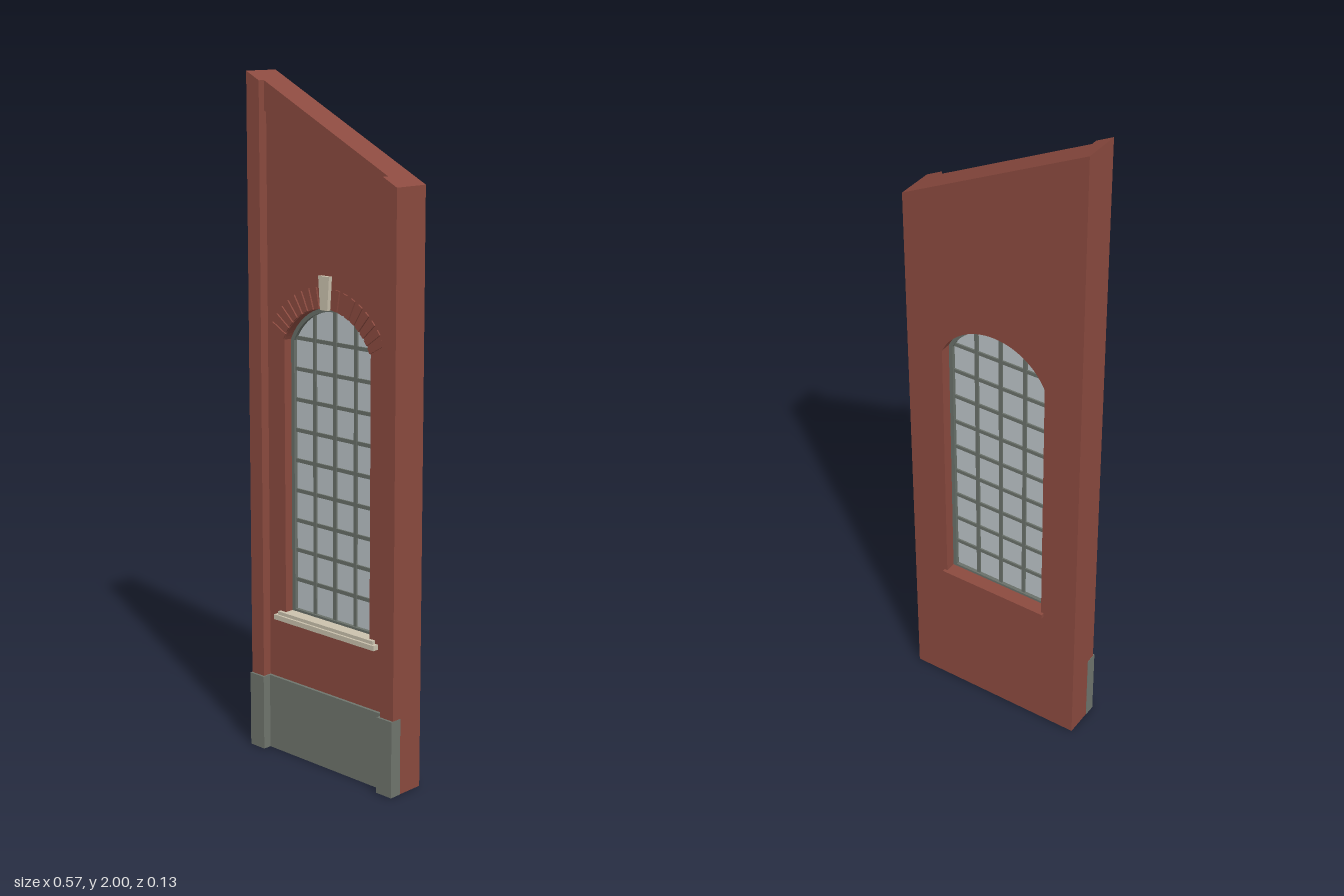
import * as THREE from 'three';

const material = (name, color) => {
  const m = new THREE.MeshStandardMaterial({ color });
  m.name = name;
  return m;
};

const HALF = 0.285;                 // half width of the wall
const INNER = 0.235;                // inner edge of the pilasters
const BACK = -0.057, FACE = 0.029;  // wall planes
const SILL = 0.432, SPRING = 1.25, APEX = 1.357, OPEN = 0.168;
const rise = APEX - SPRING;
const R = (OPEN * OPEN + rise * rise) / (2 * rise);  // segmental arch radius
const CY = APEX - R;
const topAt = x => 1.857 - 0.5 * x; // sloping top edge

// Arched outline, inset by d
function archPath(Type, d) {
  const w = OPEN - d, r = R - d, a = Math.acos(w / r);
  const p = new Type();
  p.moveTo(-w, SILL + d);
  p.lineTo(w, SILL + d);
  p.absarc(0, CY, r, a, Math.PI - a, false);
  p.closePath();
  return p;
}

const polygon = pts => new THREE.Shape(pts.map(p => new THREE.Vector2(...p)));

// Extrude a front outline between two z planes
function slab(shape, z0, z1) {
  const g = new THREE.ExtrudeGeometry(shape, { depth: z1 - z0, bevelEnabled: false, curveSegments: 20 });
  return g.translate(0, 0, z0);
}

const box = (x0, x1, y0, y1, z0, z1) =>
  new THREE.BoxGeometry(x1 - x0, y1 - y0, z1 - z0)
    .translate((x0 + x1) / 2, (y0 + y1) / 2, (z0 + z1) / 2);

export function createModel() {
  const model = new THREE.Group();
  model.name = 'wallSection';
  const brick = material('red brick', 0x8b4a3f);
  const plinthGrey = material('plinth grey', 0x6f756d);
  const frameGrey = material('frame grey', 0x697069);
  const stone = material('pale stone', 0xcbc2ae);
  const glass = material('window glass', 0xbcc4c8);

  const add = (name, geometry, mat, parent = model) => {
    const mesh = new THREE.Mesh(geometry, mat);
    mesh.name = name;
    parent.add(mesh);
    return mesh;
  };

  // Main wall with arched opening
  const wall = polygon([[-HALF, 0], [HALF, 0], [HALF, topAt(HALF)], [-HALF, topAt(-HALF)]]);
  wall.holes.push(archPath(THREE.Path, 0));
  add('wall', slab(wall, BACK, FACE), brick);

  // Raised band along the sloping top
  const bandDrop = 0.083;
  add('topBand', slab(polygon([
    [-INNER, topAt(-INNER) - bandDrop], [INNER, topAt(INNER) - bandDrop],
    [INNER, topAt(INNER)], [-INNER, topAt(-INNER)],
  ]), FACE, 0.037), brick);

  // Pilasters and their plinth blocks
  for (const [side, a, b] of [['right', -HALF, -INNER], ['left', INNER, HALF]]) {
    add(side + 'Pilaster', slab(polygon([[a, 0], [b, 0], [b, topAt(b)], [a, topAt(a)]]), FACE, 0.057), brick);
    const x0 = a < 0 ? a - 0.001 : 0.229, x1 = a < 0 ? -0.229 : b + 0.001;
    add(side + 'PlinthBlock', box(x0, x1, 0, 0.228, 0.027, 0.064), plinthGrey);
  }
  add('plinth', box(-0.229, 0.229, 0, 0.228, 0.027, 0.038), plinthGrey);

  // Brick arch over the window
  const arch = new THREE.Group();
  arch.name = 'brickArch';
  model.add(arch);
  const end = Math.asin(OPEN / R), count = 8;
  for (const s of [-1, 1]) {
    for (let i = 0; i < count; i++) {
      const t = s * (0.12 + (end - 0.12) * (i + 0.5) / count);
      const voussoir = add('voussoir', new THREE.BoxGeometry(0.017, 0.06, 0.008), brick, arch);
      voussoir.position.set(Math.sin(t) * (R + 0.031), CY + Math.cos(t) * (R + 0.031), FACE + 0.001);
      voussoir.rotation.z = -t;
    }
  }
  add('keystone', slab(polygon([[-0.014, 1.355], [0.014, 1.355], [0.021, 1.45], [-0.021, 1.45]]), 0.02, 0.041), stone);

  // Sills outside and inside
  add('sillSlab', box(-0.2, 0.2, 0.412, 0.427, 0.02, 0.047), stone);
  add('sillUpper', box(-0.19, 0.19, 0.427, 0.437, FACE, 0.04), stone);
  add('sillInner', box(-OPEN, OPEN, 0.427, 0.437, 0, FACE), stone);
  add('backSill', box(-0.177, 0.177, 0.424, 0.437, -0.067, BACK), brick);
  add('backSillInner', box(-OPEN, OPEN, 0.427, 0.437, BACK, -0.022), brick);

  // Window frame, glass and glazing bars
  const windowGroup = new THREE.Group();
  windowGroup.name = 'window';
  model.add(windowGroup);
  const frame = archPath(THREE.Shape, -0.002);
  frame.holes.push(archPath(THREE.Path, 0.012));
  add('frame', slab(frame, -0.024, 0.002), frameGrey, windowGroup);
  add('glass', slab(archPath(THREE.Shape, 0.005), -0.013, -0.009), glass, windowGroup);
  const bar = 0.0055, z0 = -0.019, z1 = -0.003;
  const archAt = x => CY + Math.sqrt((R - 0.008) ** 2 - x * x);
  for (const x of [-0.08, 0, 0.08]) {
    add('verticalBar', box(x - bar, x + bar, SILL, archAt(x), z0, z1), frameGrey, windowGroup);
  }
  for (let i = 0; i < 9; i++) {
    const y = 0.534 + i * 0.09;
    // Bars above the arch centre are shortened to stay inside the curve
    const above = Math.max(0, y + bar - CY);
    const w = Math.min(OPEN - 0.005, Math.sqrt((R - 0.005) ** 2 - above ** 2));
    add('horizontalBar', box(-w, w, y - bar, y + bar, z0 + 0.001, z1 - 0.001), frameGrey, windowGroup);
  }
  return model;
}
